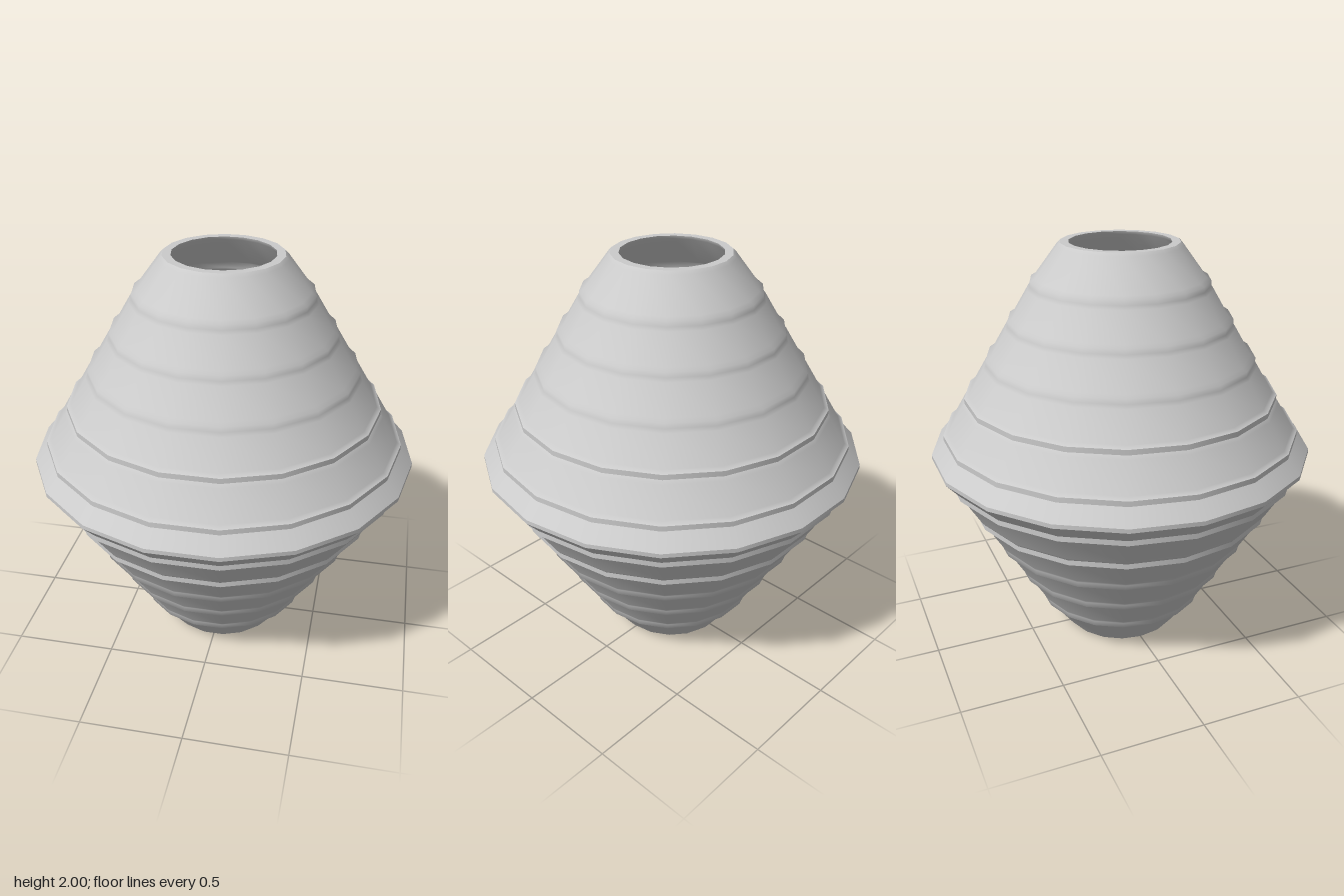
import * as THREE from 'three';
import { mergeGeometries } from 'three/addons/utils/BufferGeometryUtils.js';

const SIDES = 18;
const WALL = 0.05;

// Lathe one smooth stretch of profile, with a corner pointing along +x
const turn = (points) => new THREE.LatheGeometry(
  points.map(([r, y]) => new THREE.Vector2(r, y)), SIDES, Math.PI / 2);

// Upper half of the profile, from the waist to the mouth, as [radius, y].
// Returns smooth runs; a new run begins at each sharp edge.
function upperRuns() {
  const runs = [];
  let run = [[0.93, 1.01]];
  for (let i = 0; i < 5; i++) {
    const r = 0.868 - 0.111 * i;
    const y = 1.08 + 0.181 * i;
    const sharp = i < 2;
    const cut = (p) => {
      run.push(p);
      if (sharp) {
        runs.push(run);
        run = [p];
      }
    };
    // Narrow raised band, then the slope up to the next band
    cut([r, y]);
    cut([r, y + 0.025]);
    run.push([r - 0.022, y + 0.037]);
    if (i < 4) run.push([r - 0.098, y + 0.165]);
  }
  run.push([0.295, 1.985], [0.28, 2]);
  runs.push(run);
  return runs;
}

const mirrorRun = (run) => run.map(([r, y]) => [r, 2 - y]).reverse();

export function createModel() {
  const group = new THREE.Group();
  const material = new THREE.MeshStandardMaterial({ color: 0xcccccc });
  const add = (name, runs) => {
    const mesh = new THREE.Mesh(mergeGeometries(runs.map(turn)), material);
    mesh.name = name;
    group.add(mesh);
  };

  const upper = upperRuns();
  const lower = upper.map(mirrorRun).reverse();

  // Ribbed outside halves and the thin band round the waist
  add('upperShell', upper);
  add('lowerShell', lower);
  add('waistBand', [[[0.93, 0.99], [0.93, 1.01]]]);

  // Inside wall follows the ribs, facing inward
  const inner = [...lower, ...upper].flat().map(([r, y]) => [r - WALL, y])
    .filter((p, i, a) => i === 0 || p[1] - a[i - 1][1] > 1e-6).reverse();
  inner[0] = [0.24, 2];
  inner[inner.length - 1] = [0.24, 0];
  add('innerWall', [inner]);

  // Flat lips at both openings
  add('topLip', [[[0.28, 2], [0.24, 2]]]);
  add('bottomLip', [[[0.24, 0], [0.28, 0]]]);
  return group;
}
